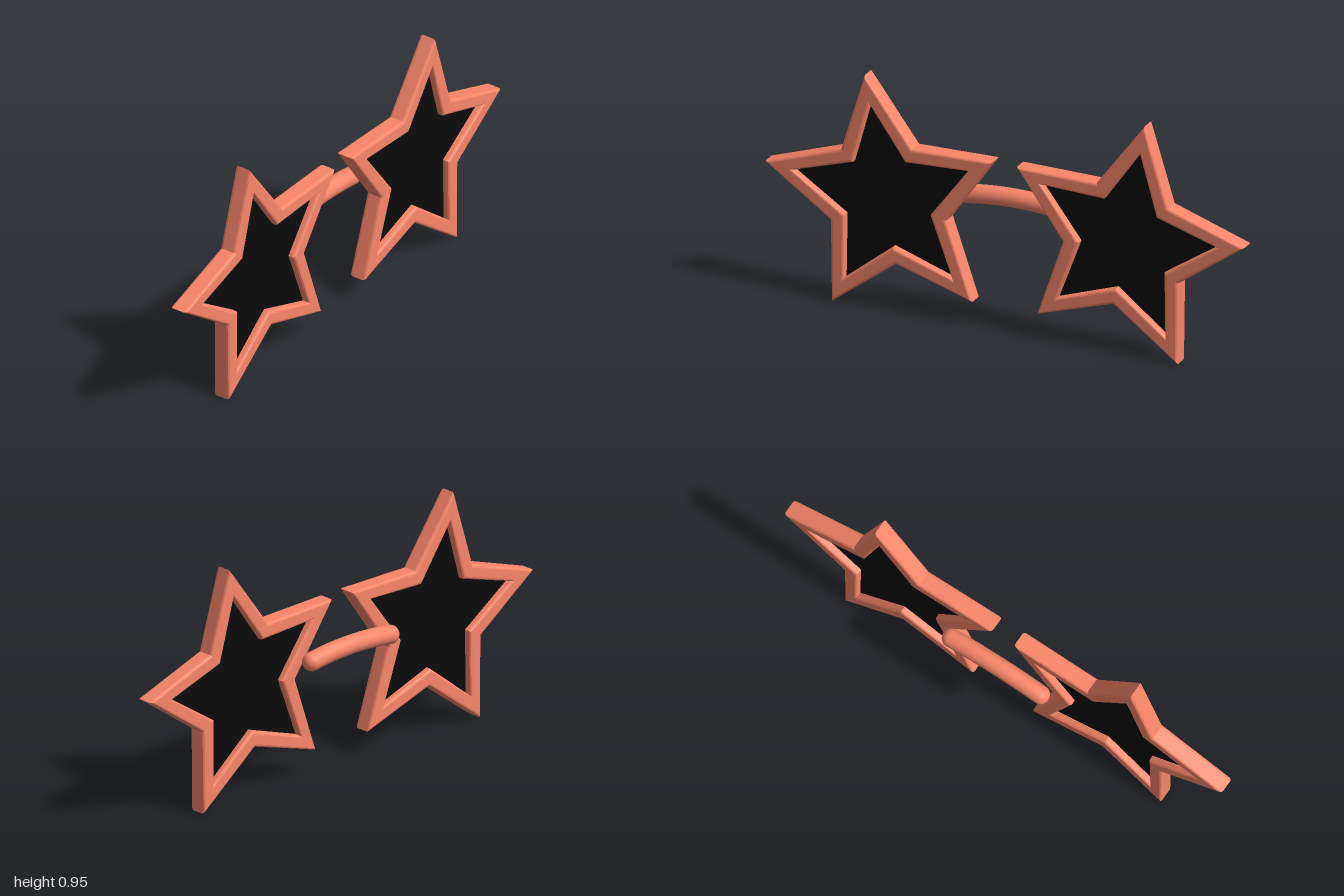
import * as THREE from 'three';

const TIP = 0.488, NOTCH = 0.244, HOLE = 0.83, BEVEL = 0.012;
const DEPTH = 0.072, RIM_Z = 0.041, BRIDGE_Z = -0.04;

// Five-pointed star outline, its first tip at angle `start`
function starPoints(scale, start) {
  return Array.from({ length: 10 }, (_, i) => {
    const r = (i % 2 ? NOTCH : TIP) * scale;
    const a = start + (i * Math.PI) / 5;
    return new THREE.Vector2(r * Math.cos(a), r * Math.sin(a));
  });
}

export function createModel() {
  const model = new THREE.Group();
  model.name = 'starGlasses';
  const coral = new THREE.MeshStandardMaterial({ color: 0xfa866a });
  const black = new THREE.MeshStandardMaterial({ color: 0x0a0a0a });

  function add(parent, name, geometry, material, x = 0, y = 0, z = 0) {
    const mesh = new THREE.Mesh(geometry, material);
    mesh.name = name;
    mesh.position.set(x, y, z);
    parent.add(mesh);
  }

  // Star rims with dark lenses, tilted outwards on each side
  for (const side of [-1, 1]) {
    const start = Math.PI / 2 - side * THREE.MathUtils.degToRad(9.8);
    const eye = new THREE.Group();
    eye.name = side > 0 ? 'leftEye' : 'rightEye';
    eye.position.set(side * 0.497, 0.458, RIM_Z);
    model.add(eye);

    const rim = new THREE.Shape(starPoints(1, start));
    rim.holes.push(new THREE.Path(starPoints(HOLE, start).reverse()));
    const rimGeometry = new THREE.ExtrudeGeometry(rim, {
      depth: DEPTH - 2 * BEVEL, bevelThickness: BEVEL, bevelSize: BEVEL, bevelSegments: 3,
    });
    rimGeometry.translate(0, 0, BEVEL - DEPTH / 2);
    add(eye, 'rim', rimGeometry, coral);

    const lens = new THREE.Shape(starPoints(HOLE, start));
    const lensGeometry = new THREE.ExtrudeGeometry(lens, { depth: 0.015, bevelEnabled: false });
    lensGeometry.translate(0, 0, -0.0075);
    add(eye, 'lens', lensGeometry, black);
  }

  // Arched bridge behind the rims, with round ends
  const half = 0.203, endY = 0.497, radius = 0.037;
  const arch = new THREE.QuadraticBezierCurve3(
    new THREE.Vector3(-half, endY, BRIDGE_Z),
    new THREE.Vector3(0, endY + 0.03, BRIDGE_Z),
    new THREE.Vector3(half, endY, BRIDGE_Z),
  );
  add(model, 'bridge', new THREE.TubeGeometry(arch, 24, radius, 20), coral);
  for (const side of [-1, 1]) {
    add(model, 'bridgeEnd', new THREE.SphereGeometry(radius, 20, 14), coral, side * half, endY, BRIDGE_Z);
  }

  return model;
}
